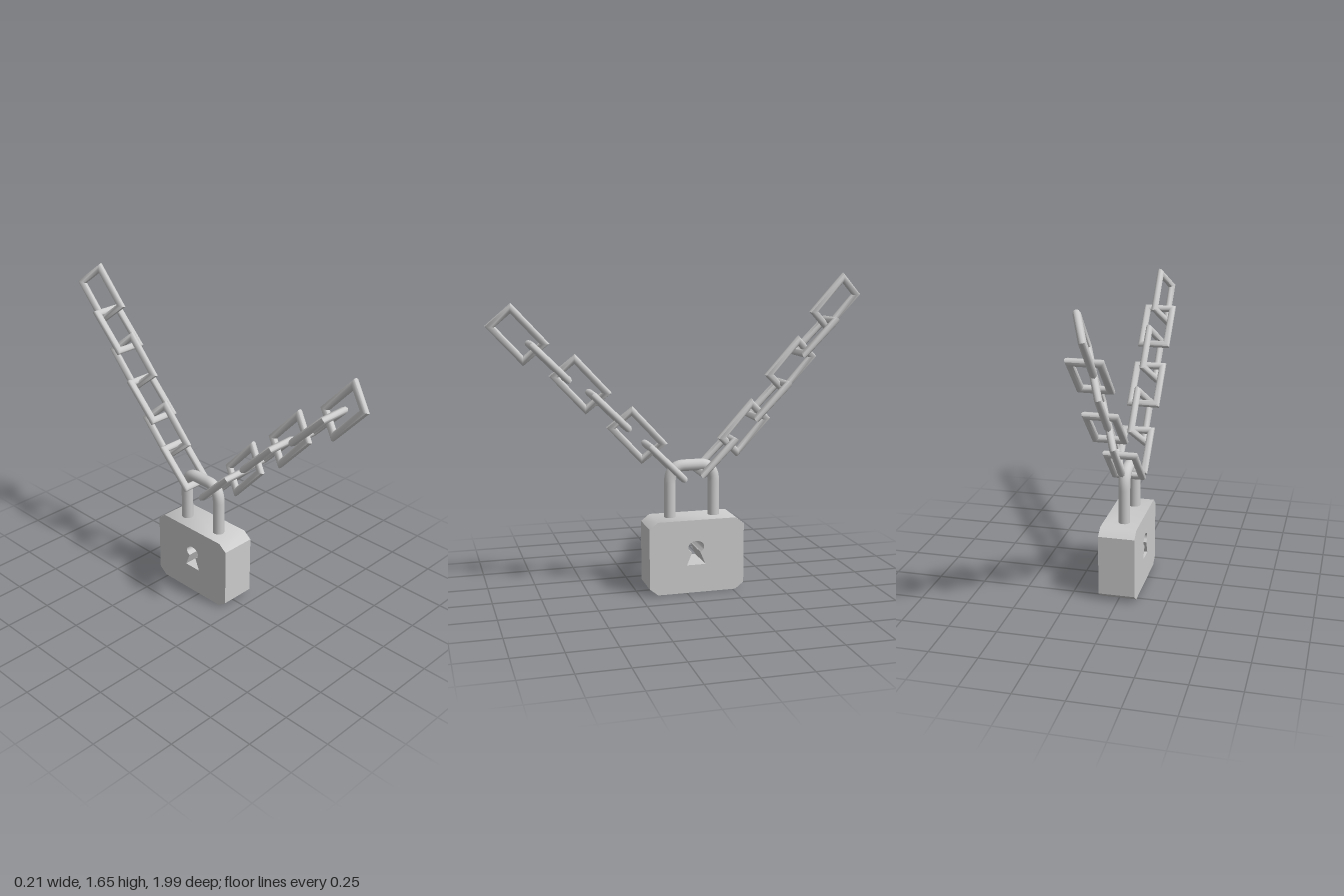
import * as THREE from 'three';
import { toCreasedNormals } from 'three/addons/utils/BufferGeometryUtils.js';

const material = new THREE.MeshStandardMaterial({ color: 0xcccccc });

function addMesh(parent, name, geometry) {
  const mesh = new THREE.Mesh(geometry, material);
  mesh.name = name;
  parent.add(mesh);
  return mesh;
}

// Chamfered lock body with a keyhole cut right through; drawn in (z, y), extruded along x
function lockBodyGeometry() {
  const z0 = -0.31, z1 = 0.2, h = 0.39, cz = 0.045, cy = 0.035;
  // shape x is -z, so the extrusion runs along +x after the turn
  const outline = new THREE.Shape([
    [-z1 + cz, 0], [-z0 - cz, 0], [-z0, cy], [-z0, h - cy],
    [-z0 - cz, h], [-z1 + cz, h], [-z1, h - cy], [-z1, cy],
  ].map(([x, y]) => new THREE.Vector2(x, y)));

  // keyhole: round top with a flared slot below
  const keyhole = new THREE.Path();
  const kx = 0.05, ky = 0.245;
  keyhole.moveTo(kx - 0.05, 0.15);
  keyhole.lineTo(kx - 0.022, ky - 0.027);
  keyhole.absellipse(kx, ky, 0.043, 0.033, Math.PI * 1.32, -Math.PI * 0.32, true);
  keyhole.lineTo(kx + 0.022, ky - 0.027);
  keyhole.lineTo(kx + 0.05, 0.15);
  keyhole.closePath();
  outline.holes.push(keyhole);

  const geometry = new THREE.ExtrudeGeometry(outline, { depth: 0.19, bevelEnabled: false, curveSegments: 10 });
  geometry.rotateY(Math.PI / 2).translate(-0.09, 0, 0);
  return toCreasedNormals(geometry, 0.7);
}

// Shackle: two legs joined by rounded elbows and a flat top
function shackleGeometry() {
  const P = (z, y) => new THREE.Vector3(-0.005, y, z);
  const a = 0.065, b = -0.173, top = 0.662, bend = 0.57, r = 0.075;
  const path = new THREE.CurvePath();
  path.add(new THREE.LineCurve3(P(a, 0.36), P(a, bend)));
  path.add(new THREE.QuadraticBezierCurve3(P(a, bend), P(a, top), P(a - r, top)));
  path.add(new THREE.LineCurve3(P(a - r, top), P(b + r, top)));
  path.add(new THREE.QuadraticBezierCurve3(P(b + r, top), P(b, top), P(b, bend)));
  path.add(new THREE.LineCurve3(P(b, bend), P(b, 0.36)));
  return new THREE.TubeGeometry(path, 48, 0.031, 16, false);
}

// Rectangular link: a four-sided torus stretched along x, leaving mitred corners
function linkGeometry() {
  const bar = 0.019, stretch = 0.0475;
  const geometry = new THREE.TorusGeometry(0.1, bar * Math.SQRT2, 10, 4);
  geometry.rotateZ(Math.PI / 4).scale(1, 1, Math.SQRT1_2);
  const pos = geometry.attributes.position;
  for (let i = 0; i < pos.count; i++) {
    pos.setX(i, pos.getX(i) + Math.sign(pos.getX(i)) * stretch);
  }
  return toCreasedNormals(geometry, 0.9);
}

// Each link: centre x, y, z; links alternate upright and flat, from the shackle outwards
const strands = [
  { name: 'frontChain', side: 1, links: [
    [0.003, 0.692, 0.096], [0.003, 0.834, 0.24], [0.003, 0.97, 0.388],
    [0.004, 1.107, 0.53], [0.011, 1.227, 0.69], [0.006, 1.363, 0.84]] },
  { name: 'backChain', side: -1, links: [
    [-0.01, 0.706, -0.184], [0.003, 0.848, -0.337], [0.016, 0.995, -0.465],
    [0.005, 1.171, -0.593], [0.016, 1.321, -0.722], [0.005, 1.495, -0.837]] },
];

export function createModel() {
  const model = new THREE.Group();
  model.name = 'padlockWithChain';

  const padlock = new THREE.Group();
  padlock.name = 'padlock';
  model.add(padlock);
  addMesh(padlock, 'lockBody', lockBodyGeometry());
  addMesh(padlock, 'shackle', shackleGeometry());

  const link = linkGeometry();
  for (const { name, side, links } of strands) {
    const chain = new THREE.Group();
    chain.name = name;
    model.add(chain);
    links.forEach((centre, i) => {
      const flat = i % 2 === 0;
      const slope = THREE.MathUtils.degToRad(flat ? 45 : 47.5);
      const roll = THREE.MathUtils.degToRad(flat ? 90 : 20);
      // length runs up the strand; width is rolled about it
      const along = new THREE.Vector3(0, Math.sin(slope), side * Math.cos(slope));
      const across = new THREE.Vector3(0, Math.cos(slope), -side * Math.sin(slope))
        .multiplyScalar(Math.cos(roll));
      across.x = Math.sin(roll);
      const normal = new THREE.Vector3().crossVectors(along, across);
      const mesh = addMesh(chain, flat ? 'crosswiseLink' : 'uprightLink', link);
      mesh.quaternion.setFromRotationMatrix(new THREE.Matrix4().makeBasis(along, across, normal));
      mesh.position.set(...centre);
    });
  }
  return model;
}
